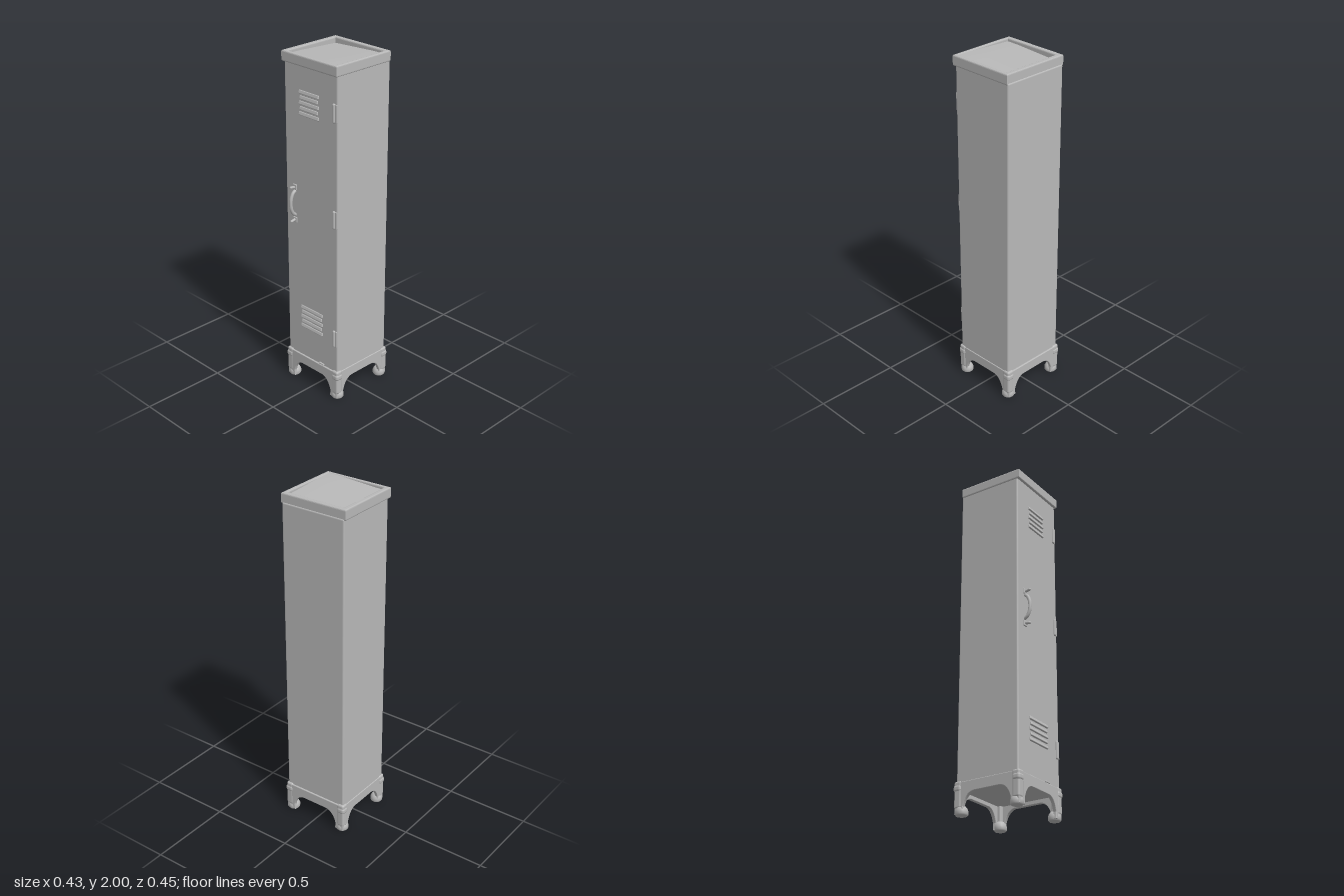
import * as THREE from 'three';
import { RoundedBoxGeometry } from 'three/addons/geometries/RoundedBoxGeometry.js';

const CZ = -0.014; // centre of the cabinet in z (the handle sticks out in front)
const FRONT = 0.182; // plane of the door

export function createModel() {
  const root = new THREE.Group();
  root.name = 'locker';
  const steel = new THREE.MeshStandardMaterial({ color: 0xb8b8b8, side: THREE.DoubleSide });
  steel.name = 'grey steel';

  const add = (name, geometry, x = 0, y = 0, z = 0, parent = root) => {
    const mesh = new THREE.Mesh(geometry, steel);
    mesh.name = name;
    mesh.position.set(x, y, z);
    parent.add(mesh);
    return mesh;
  };
  const rounded = (w, h, d, r) => new RoundedBoxGeometry(w, h, d, 3, r);

  // Cabinet body
  add('cabinet', rounded(0.402, 1.81, 0.392, 0.01), 0, 1.045, CZ);

  // Rim around the roof, wider on the left and back
  const rim = new THREE.Shape();
  rim.moveTo(-0.2, -0.19).lineTo(0.2, -0.19).lineTo(0.2, 0.2).lineTo(-0.2, 0.2).closePath();
  const opening = new THREE.Path();
  opening.moveTo(-0.184, -0.182).lineTo(-0.184, 0.184).lineTo(0.19, 0.184).lineTo(0.19, -0.182).closePath();
  rim.holes.push(opening);
  const rimGeometry = new THREE.ExtrudeGeometry(rim, {
    depth: 0.044, bevelEnabled: true, bevelThickness: 0.008, bevelSize: 0.006, bevelSegments: 3,
  });
  rimGeometry.rotateX(-Math.PI / 2);
  add('roofRim', rimGeometry, 0, 1.948, 0);

  // Roof panel, sinking toward the back left corner
  const roof = new THREE.PlaneGeometry(0.39, 0.382, 8, 8).rotateX(-Math.PI / 2);
  const p = roof.attributes.position;
  for (let i = 0; i < p.count; i++) {
    const u = Math.min(1, (p.getX(i) + 0.195) / 0.3);
    const v = Math.min(1, (p.getZ(i) + 0.191) / 0.3);
    p.setY(i, 1.965 + 0.016 * (u + v));
  }
  roof.computeVertexNormals();
  add('roofPanel', roof, 0.003, 0, 0);

  // Base skirt: four arched panels
  const arch = new THREE.Shape();
  arch.moveTo(-0.2, 0.01).lineTo(-0.152, 0.01).lineTo(-0.154, 0.045);
  arch.bezierCurveTo(-0.142, 0.085, -0.125, 0.115, -0.085, 0.122);
  arch.lineTo(0.085, 0.122);
  arch.bezierCurveTo(0.125, 0.115, 0.142, 0.085, 0.154, 0.045);
  arch.lineTo(0.152, 0.01).lineTo(0.2, 0.01).lineTo(0.2, 0.175).lineTo(-0.2, 0.175).closePath();
  const panel = new THREE.ExtrudeGeometry(arch, {
    depth: 0.012, bevelEnabled: true, bevelThickness: 0.005, bevelSize: 0.004, bevelSegments: 3, curveSegments: 8,
  });
  const base = new THREE.Group();
  base.name = 'base';
  base.position.z = CZ;
  root.add(base);
  for (let i = 0; i < 4; i++) {
    const side = new THREE.Group();
    side.name = 'skirtSide';
    side.rotation.y = i * Math.PI / 2;
    base.add(side);
    add('skirtPanel', panel, 0, 0, 0.188, side);
  }

  // Feet and swollen corner joints
  const foot = new THREE.LatheGeometry([
    [0, 0], [0.03, 0], [0.036, 0.008], [0.036, 0.026], [0.03, 0.04], [0.02, 0.052], [0, 0.056],
  ].map(([r, y]) => new THREE.Vector2(r, y)), 16);
  for (const sx of [-1, 1]) {
    for (const sz of [-1, 1]) {
      add('foot', foot, sx * 0.179, 0, sz * 0.174, base);
      add('cornerPost', rounded(0.046, 0.15, 0.046, 0.012), sx * 0.186, 0.11, sz * 0.184, base);
      add('cornerJoint', rounded(0.05, 0.04, 0.05, 0.015), sx * 0.188, 0.145, sz * 0.186, base);
    }
  }

  // Louvred vents: tilted slats on the door
  const vent = (name, x, top, width) => {
    const group = new THREE.Group();
    group.name = name;
    root.add(group);
    for (let i = 0; i < 5; i++) {
      const slat = add('slat', rounded(width - (i % 2) * 0.012, 0.02, 0.012, 0.004),
        x, top - i * 0.03, FRONT + 0.001, group);
      slat.rotation.x = -0.3;
    }
  };
  vent('upperVent', -0.012, 1.797, 0.15);
  vent('lowerVent', -0.004, 0.5, 0.175);

  // Hinges along the door's left edge
  for (const y of [1.74, 1.135, 0.395]) {
    add('hinge', new THREE.CapsuleGeometry(0.009, 0.09, 4, 10), 0.176, y, FRONT + 0.002);
    add('hingePlate', rounded(0.022, 0.1, 0.008, 0.003), 0.187, y, FRONT);
  }

  // Bowed door handle with flared mounts
  const grip = new THREE.CatmullRomCurve3([
    [1.065, 0.178], [1.08, 0.199], [1.11, 0.213], [1.14, 0.216], [1.17, 0.213], [1.2, 0.199], [1.215, 0.178],
  ].map(([y, z]) => new THREE.Vector3(-0.13, y, z)));
  add('handleGrip', new THREE.TubeGeometry(grip, 32, 0.01, 10));
  for (const [y, tilt] of [[1.235, -0.2], [1.037, 0.2]]) {
    const peg = add('handlePeg', new THREE.CapsuleGeometry(0.008, 0.035, 4, 10), -0.13, y, FRONT + 0.014);
    peg.rotation.x = Math.PI / 2 + tilt;
    add('handleMount', rounded(0.03, 0.034, 0.01, 0.004), -0.13, y, FRONT + 0.001);
  }

  // Small catch at the foot of the door
  add('doorCatch', rounded(0.04, 0.01, 0.012, 0.004), 0.075, 0.185, FRONT + 0.002);

  return root;
}
